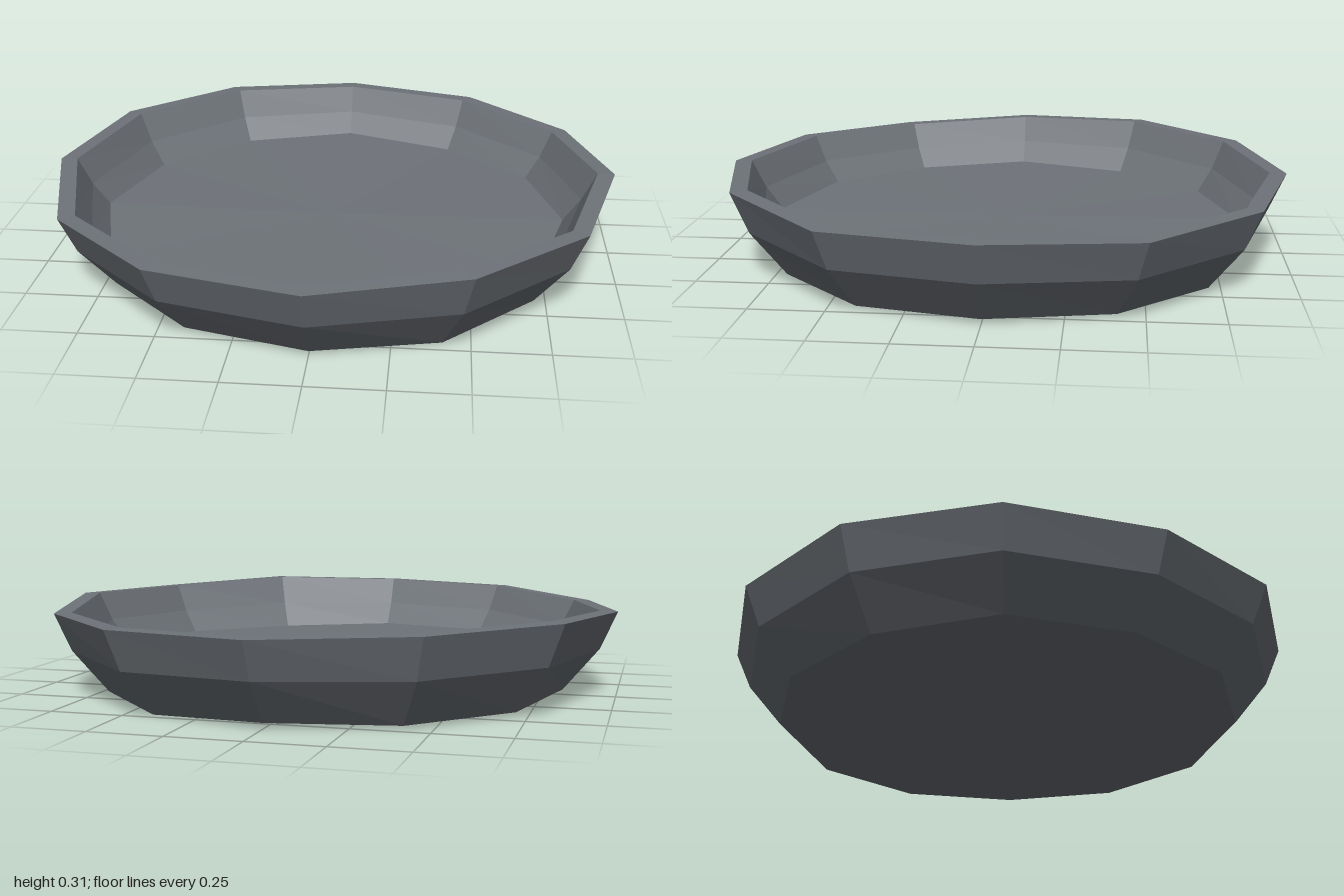
import * as THREE from 'three';

const SIDES = 12;
// Slight hand-made unevenness of the rim and foot, one value per corner, starting at +z towards +x
const rimWobble = [0, 0.01, -0.005, 0.007, -0.013, -0.01, -0.005, 0.005, 0.01, -0.004, -0.019, -0.005];
const footWobble = [0.005, -0.006, -0.002, 0.008, -0.002, -0.01, 0.008, 0, 0, 0.008, -0.002, 0.006];

// Turns a profile into a faceted ring; weights say how far each point follows rim and foot
function turned(name, profile, material) {
  const geometry = new THREE.LatheGeometry(profile.map(([r, y]) => new THREE.Vector2(r, y)), SIDES);
  const position = geometry.attributes.position;
  for (let i = 0; i < position.count; i++) {
    const corner = Math.floor(i / profile.length) % SIDES;
    const [, y, rim, foot] = profile[i % profile.length];
    position.setY(i, y + rim * rimWobble[corner] + foot * footWobble[corner]);
  }
  const faceted = geometry.toNonIndexed();
  faceted.computeVertexNormals();
  const mesh = new THREE.Mesh(faceted, material);
  mesh.name = name;
  return mesh;
}

export function createModel() {
  const slate = new THREE.MeshStandardMaterial({ color: 0x6e7379 });
  slate.name = 'slate grey';

  const dish = new THREE.Group();
  dish.name = 'dish';

  // Each profile point: radius, height, rim weight, foot weight
  dish.add(
    turned('underside', [[0, 0.01, 0, 0], [0.82, 0.01, 0, 1]], slate),
    turned('outerWall', [[0.82, 0.01, 0, 1], [0.942, 0.163, 0.5, 0.5], [1, 0.3, 1, 0]], slate),
    turned('rim', [[1, 0.3, 1, 0], [0.94, 0.302, 1, 0]], slate),
    turned('innerWall', [[0.94, 0.302, 1, 0], [0.89, 0.2, 0.5, 0.5], [0.83, 0.117, 0, 1]], slate),
    turned('floor', [[0.83, 0.117, 0, 1], [0, 0.117, 0, 0]], slate),
  );
  return dish;
}
